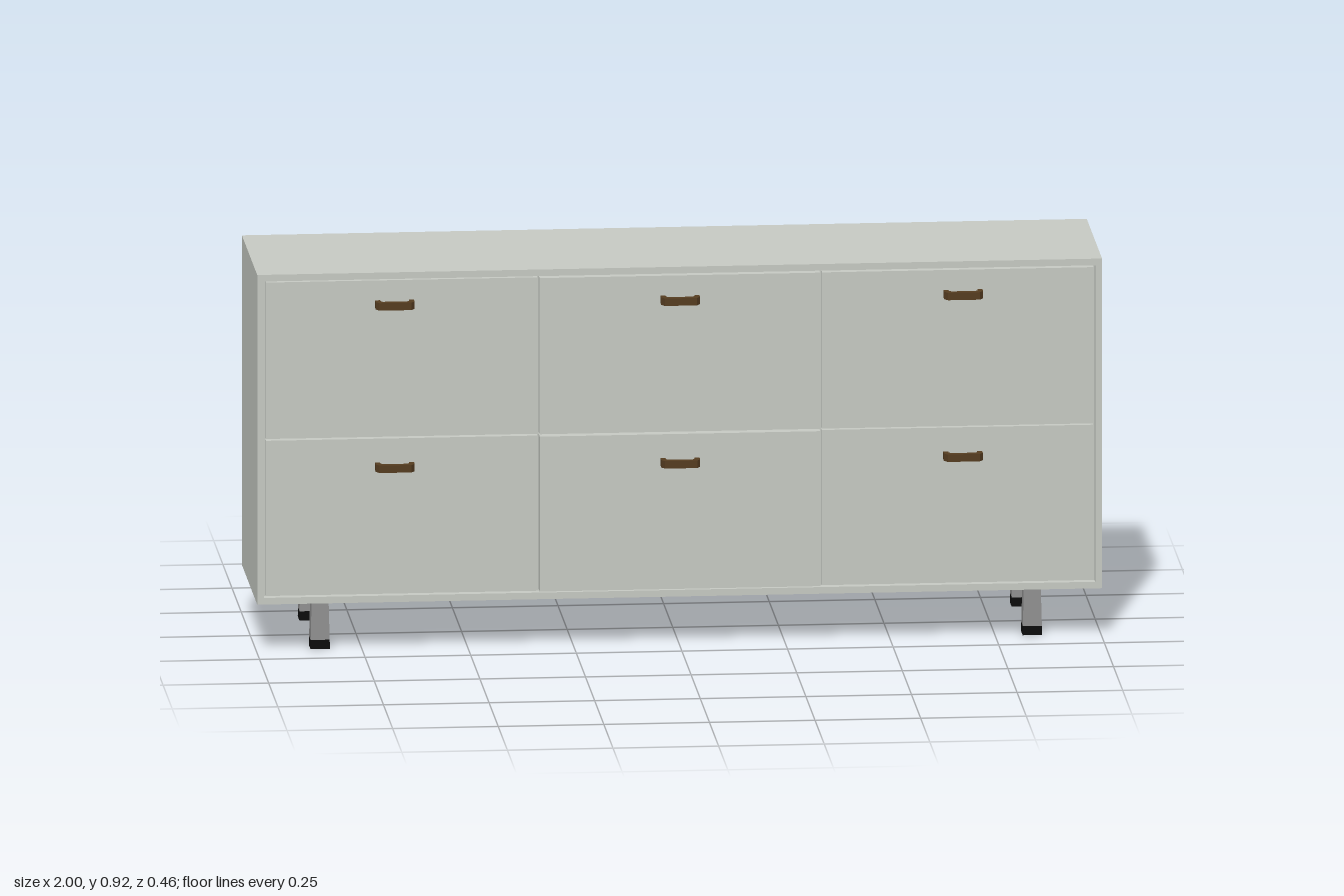
import * as THREE from 'three';

const paint = new THREE.MeshStandardMaterial({ color: 0xc5c9c2 });
const brass = new THREE.MeshStandardMaterial({ color: 0x553c20 });
const steel = new THREE.MeshStandardMaterial({ color: 0x8e8e8e, flatShading: true });
const rubber = new THREE.MeshStandardMaterial({ color: 0x0c0c0c, flatShading: true });

function add(parent, name, geometry, material, x = 0, y = 0, z = 0) {
  const mesh = new THREE.Mesh(geometry, material);
  mesh.name = name;
  mesh.position.set(x, y, z);
  parent.add(mesh);
  return mesh;
}

// Box given by its min and max corners
function box(parent, name, [x0, y0, z0], [x1, y1, z1]) {
  const geometry = new THREE.BoxGeometry(x1 - x0, y1 - y0, z1 - z0);
  return add(parent, name, geometry, paint, (x0 + x1) / 2, (y0 + y1) / 2, (z0 + z1) / 2);
}

// Square tapered prism standing on its base
function taper(topWidth, bottomWidth, height) {
  return new THREE.CylinderGeometry(topWidth / Math.SQRT2, bottomWidth / Math.SQRT2, height, 4)
    .rotateY(Math.PI / 4).translate(0, height / 2, 0);
}

// Bracket pull: plan outline with splayed feet, extruded upwards
function handleGeometry() {
  const plan = [
    [-0.046, 0], [-0.046, 0.021], [-0.038, 0.034], [0.038, 0.034], [0.046, 0.021], [0.046, 0],
    [0.034, 0], [0.034, 0.012], [0.029, 0.019], [-0.029, 0.019], [-0.034, 0.012], [-0.034, 0],
  ];
  const shape = new THREE.Shape(plan.map(([x, z]) => new THREE.Vector2(x, z)));
  const height = 0.018;
  return new THREE.ExtrudeGeometry(shape, { depth: height, bevelEnabled: false })
    .rotateX(Math.PI / 2).translate(0, height / 2, 0);
}

export function createModel() {
  const model = new THREE.Group();
  model.name = 'dresser';

  // Carcass: solid block behind the drawers with a thin frame around the front
  const carcass = new THREE.Group();
  carcass.name = 'carcass';
  model.add(carcass);
  const front = 0.188, recess = 0.168, back = -0.23, bottom = 0.118, top = 0.916;
  box(carcass, 'body', [-1, bottom, back], [1, top, recess]);
  box(carcass, 'frameTop', [-1, top - 0.016, recess], [1, top, front]);
  box(carcass, 'frameBottom', [-1, bottom, recess], [1, bottom + 0.016, front]);
  for (const [name, x] of [['frameRight', -1], ['frameLeft', 0.984]]) {
    box(carcass, name, [x, bottom + 0.016, recess], [x + 0.016, top - 0.016, front]);
  }

  // Six drawers, some pulled out slightly
  const columns = [[-0.979, -0.337], [-0.332, 0.332], [0.337, 0.979]];
  const rows = [
    { y0: 0.139, y1: 0.514, handleY: 0.447, fronts: [0.187, 0.199, 0.187] },
    { y0: 0.519, y1: 0.897, handleY: 0.84, fronts: [0.187, 0.196, 0.194] },
  ];
  const handleX = [-0.675, 0, 0.67];
  const pull = handleGeometry();
  for (const { y0, y1, handleY, fronts } of rows) {
    columns.forEach(([x0, x1], i) => {
      const drawer = new THREE.Group();
      drawer.name = 'drawer';
      model.add(drawer);
      box(drawer, 'drawerFront', [x0, y0, recess - 0.01], [x1, y1, fronts[i]]);
      add(drawer, 'handle', pull, brass, handleX[i], handleY, fronts[i] - 0.002);
    });
  }

  // Four legs with dark feet
  for (const x of [-0.848, 0.838]) {
    for (const z of [0.131, -0.171]) {
      const leg = new THREE.Group();
      leg.name = 'leg';
      leg.position.set(x, 0, z);
      model.add(leg);
      add(leg, 'legPost', taper(0.04, 0.045, 0.098), steel, 0, 0.022, 0);
      add(leg, 'footTip', taper(0.045, 0.046, 0.022), rubber);
    }
  }
  return model;
}
